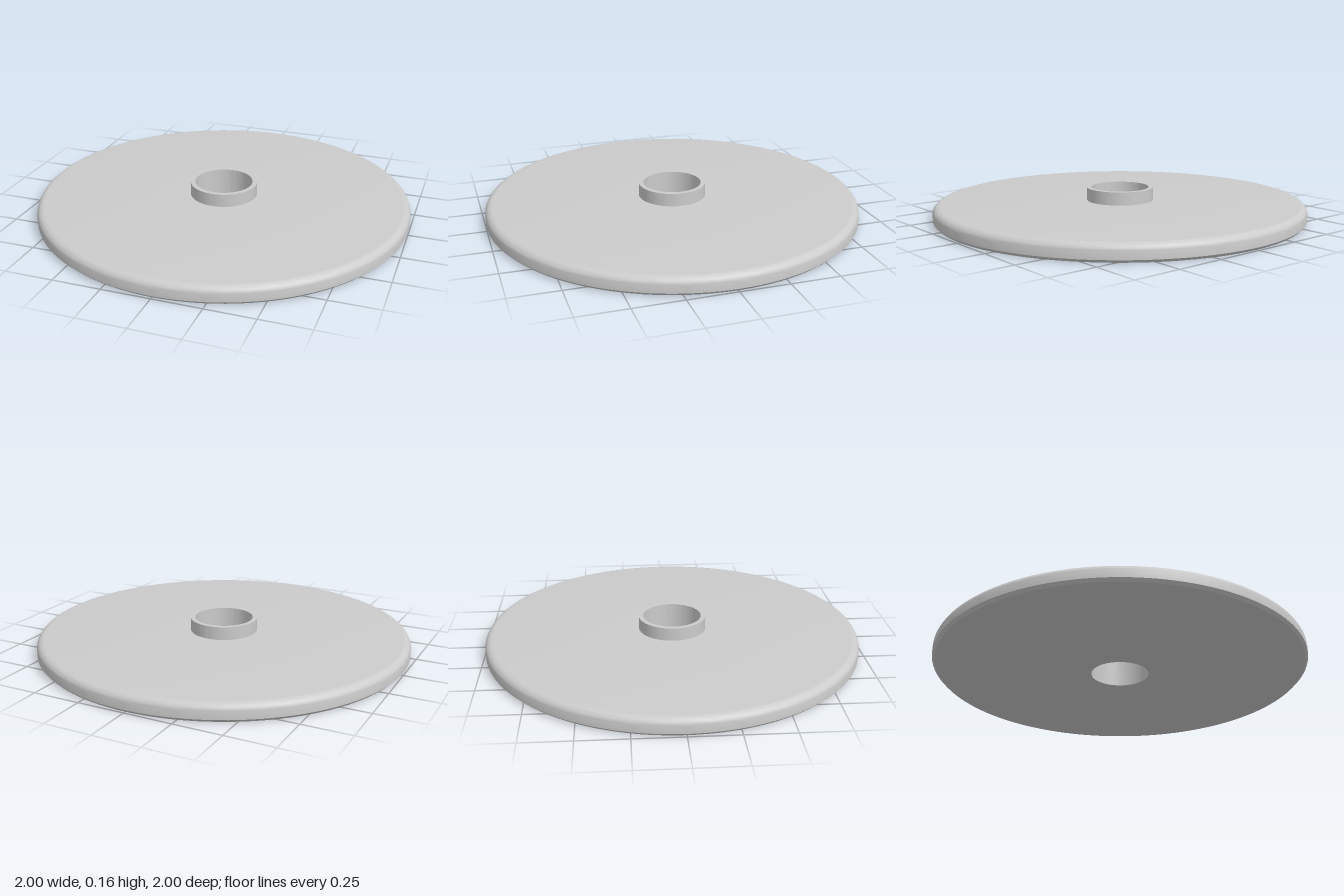
import * as THREE from 'three';
import { toCreasedNormals } from 'three/addons/utils/BufferGeometryUtils.js';

const BORE = 0.155, HUB = 0.18, RIM = 1, THICK = 0.09, HEIGHT = 0.16;
const CHAMFER = 0.015, FILLET = 0.04;

export function createModel() {
  const group = new THREE.Group();
  const material = new THREE.MeshStandardMaterial({ color: 0xcccccc, side: THREE.DoubleSide });

  // Turns an [r, y] profile around the y axis, keeping its corners sharp
  const turn = (name, profile) => {
    const points = profile.map(([r, y]) => new THREE.Vector2(r, y));
    const geometry = toCreasedNormals(new THREE.LatheGeometry(points, 128), Math.PI / 6);
    const mesh = new THREE.Mesh(geometry, material);
    mesh.name = name;
    group.add(mesh);
  };

  // Rounded upper edge of the disc
  const fillet = [];
  for (let i = 0; i <= 8; i++) {
    const a = (i / 8) * Math.PI / 2;
    fillet.push([RIM - FILLET + FILLET * Math.cos(a), THICK - FILLET + FILLET * Math.sin(a)]);
  }

  // Flat disc: underside, chamfered lower edge, rim, rounded upper edge, top face
  turn('disc', [[BORE, 0], [RIM - CHAMFER, 0], [RIM, CHAMFER], ...fillet, [HUB, THICK]]);

  // Raised collar, with the bore running down through the disc
  turn('hubCollar', [[HUB, THICK], [HUB, HEIGHT], [BORE, HEIGHT], [BORE, 0]]);

  return group;
}
